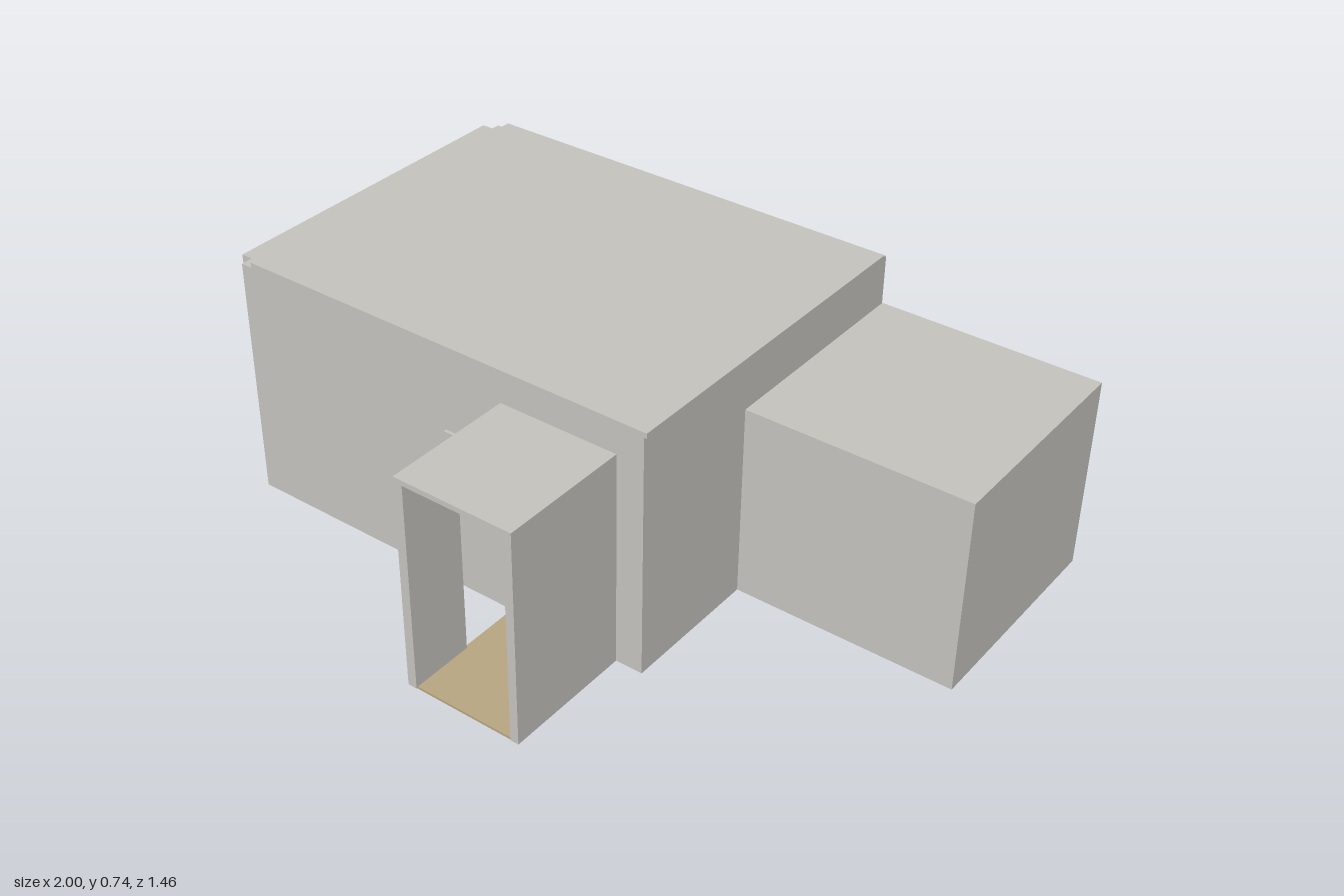
import * as THREE from 'three';

const material = (name, color) => {
  const m = new THREE.MeshStandardMaterial({ color });
  m.name = name;
  return m;
};

export function createModel() {
  const model = new THREE.Group();
  model.name = 'house';
  const plaster = material('plaster', 0xc3c1bc);
  const tan = material('tan floor', 0xb5a480);
  const black = material('black furniture', 0x1c1b1b);

  // Box from its two extreme corners
  const box = (name, mat, x0, x1, y0, y1, z0, z1, parent = model) => {
    const mesh = new THREE.Mesh(new THREE.BoxGeometry(x1 - x0, y1 - y0, z1 - z0), mat);
    mesh.position.set((x0 + x1) / 2, (y0 + y1) / 2, (z0 + z1) / 2);
    mesh.name = name;
    parent.add(mesh);
    return mesh;
  };

  // Upright wall with rectangular openings [u0, u1, v0, v1], drawn in x, y and extruded along z
  const wall = (name, u0, u1, v0, v1, openings, depth) => {
    const rect = (path, a, b, c, d) =>
      path.moveTo(a, c).lineTo(b, c).lineTo(b, d).lineTo(a, d).closePath();
    const shape = rect(new THREE.Shape(), u0, u1, v0, v1);
    for (const o of openings) shape.holes.push(rect(new THREE.Path(), ...o));
    const geometry = new THREE.ExtrudeGeometry(shape, { depth, bevelEnabled: false });
    const mesh = new THREE.Mesh(geometry, plaster);
    mesh.name = name;
    model.add(mesh);
    return mesh;
  };

  // Floors
  box('mainFloor', tan, -0.97, 0.35, 0, 0.007, -0.7, 0.335);
  box('sideRoomFloor', tan, 0.35, 0.97, 0, 0.007, -0.7, -0.1);
  box('porchFloor', tan, -0.06, 0.255, 0, 0.007, 0.335, 0.72);

  // Main room
  wall('frontWall', -0.965, 0.355, 0.004, 0.72, [[0.04, 0.24, 0.007, 0.495]], 0.03).position.z = 0.31;
  box('backWall', plaster, -0.965, 0.355, 0.004, 0.72, -0.7, -0.67);
  box('sideWall', plaster, 0.325, 0.355, 0.004, 0.72, -0.67, 0.31);
  box('ceiling', plaster, -0.965, 0.355, 0.7, 0.72, -0.67, 0.31);
  box('roof', plaster, -0.93, 0.363, 0.72, 0.735, -0.705, 0.34);

  // Window wall; its local x runs along z
  const windows = [[-0.52, -0.265], [-0.135, 0.12]];
  const endWall = wall('windowWall', -0.675, 0.305, 0.004, 0.72,
    windows.map(([a, b]) => [a, b, 0.21, 0.635]), 0.07);
  endWall.rotation.y = -Math.PI / 2;
  endWall.position.x = -0.93;
  for (const [a, b] of windows) {
    const group = new THREE.Group();
    group.name = 'window';
    model.add(group);
    const mid = (a + b) / 2;
    box('pane', plaster, -0.932, -0.925, 0.21, 0.635, a, b, group);
    for (const z of [a, mid - 0.011, b - 0.022])
      box('upright', plaster, -0.945, -0.93, 0.21, 0.635, z, z + 0.022, group);
    for (const y of [0.21, 0.412, 0.613])
      box('crossbar', plaster, -0.942, -0.93, y, y + 0.022, a, b, group);
  }

  // Side room, hollow
  box('sideRoomRoof', plaster, 0.3, 1, 0.56, 0.575, -0.73, -0.08);
  box('sideRoomBack', plaster, 0.355, 1, 0.004, 0.56, -0.73, -0.7);
  box('sideRoomFront', plaster, 0.355, 1, 0.004, 0.56, -0.11, -0.08);
  box('sideRoomEnd', plaster, 0.97, 1, 0.004, 0.56, -0.7, -0.11);
  box('partitionEdge', plaster, 0.332, 0.355, 0.004, 0.72, -0.728, -0.7);

  // Porch with a doorway in its right wall
  box('porchRoof', plaster, -0.08, 0.275, 0.625, 0.64, 0.34, 0.725);
  box('porchLeftWall', plaster, 0.25, 0.275, 0.004, 0.625, 0.34, 0.725);
  box('porchRightWall', plaster, -0.08, -0.053, 0.004, 0.625, 0.535, 0.725);
  box('porchLintel', plaster, -0.08, -0.053, 0.49, 0.625, 0.34, 0.535);
  box('openDoor', plaster, -0.265, -0.08, 0.008, 0.485, 0.34, 0.35);

  // Inner door frame
  for (const x of [0.04, 0.228])
    box('doorJamb', plaster, x, x + 0.012, 0.007, 0.495, 0.3, 0.345);

  // Furnishings behind the doorway
  box('wallPanel', tan, 0.093, 0.167, 0.33, 0.427, -0.67, -0.664);
  const chair = new THREE.Group();
  chair.name = 'chair';
  model.add(chair);
  box('chairBack', black, 0.12, 0.235, 0.11, 0.265, -0.42, -0.4, chair);
  box('chairSeat', black, 0.09, 0.225, 0.1, 0.12, -0.4, -0.27, chair);
  for (const x of [0.09, 0.21])
    for (const z of [-0.41, -0.285])
      box('chairLeg', black, x, x + 0.014, 0.007, 0.11, z, z + 0.014, chair);
  box('chairPedestal', black, 0.11, 0.18, 0.03, 0.1, -0.37, -0.3, chair);
  box('cabinet', black, -0.06, 0.115, 0.007, 0.18, -0.5, -0.43);

  return model;
}
